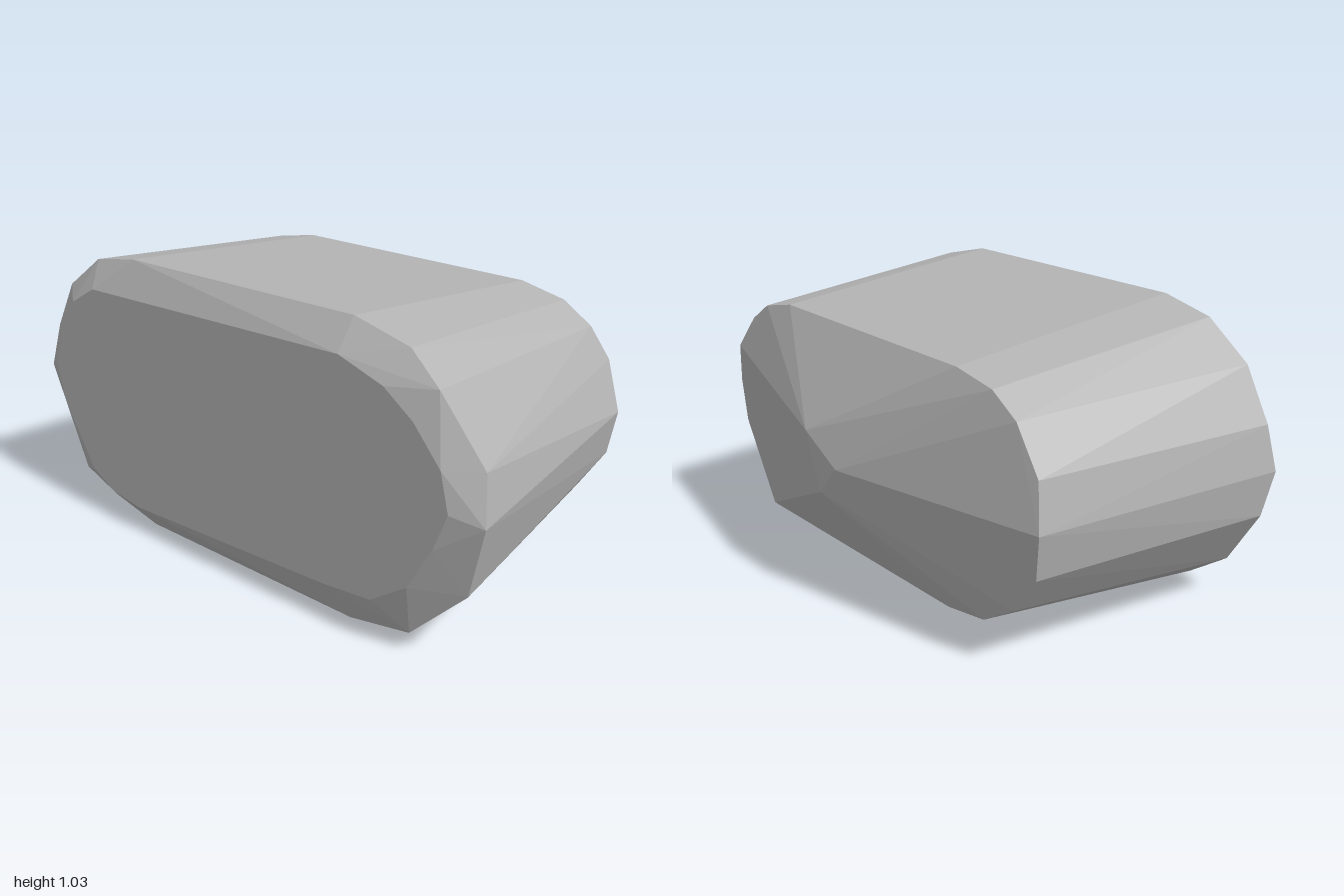
import * as THREE from 'three';
import { ConvexGeometry } from 'three/addons/geometries/ConvexGeometry.js';

// Each ring lists [x, y, optional z]; z falls back to the ring's own depth.
const ring = (depth, points) =>
  points.map(([x, y, z = depth]) => new THREE.Vector3(x, y, z));

export function createModel() {
  const stone = new THREE.MeshStandardMaterial({ color: 0xb4b4b4 });
  stone.name = 'stone grey';

  // Flat front face
  const frontFace = ring(0.59, [
    [-0.87, 0.68], [-0.77, 0.83], [-0.65, 0.9], [0.49, 0.935], [0.66, 0.88],
    [0.77, 0.8], [0.87, 0.68], [0.9, 0.55], [0.85, 0.42], [0.76, 0.26],
    [0.62, 0.16], [0.42, 0.14], [-0.48, 0.1], [-0.62, 0.12], [-0.73, 0.18],
    [-0.87, 0.42], [-0.9, 0.55],
  ]);

  // Widest outline, just behind the front face
  const frontRim = ring(0.515, [
    [-1, 0.52, 0.54], [-0.97, 0.68], [-0.87, 0.86], [-0.7, 0.985],
    [-0.49, 1.025, 0.53], [0.49, 1.035], [0.7, 0.985], [0.83, 0.9, 0.55],
    [0.975, 0.68], [1, 0.52, 0.545], [0.93, 0.26], [0.74, 0.07, 0.545],
    [0.48, 0], [-0.48, 0], [-0.7, 0.05], [-0.83, 0.14, 0.545], [-0.975, 0.36],
  ]);

  // Narrower outline at the rear
  const backRim = ring(-0.39, [
    [-0.9, 0.52, -0.41], [-0.87, 0.68], [-0.77, 0.83], [-0.66, 0.9],
    [-0.49, 0.93], [0.49, 0.935], [0.66, 0.9], [0.77, 0.83],
    [0.83, 0.715, -0.425], [0.9, 0.55], [0.87, 0.39], [0.77, 0.235],
    [0.62, 0.12, -0.425], [0.45, 0.1], [-0.45, 0.1], [-0.63, 0.13],
    [-0.77, 0.22], [-0.87, 0.36],
  ]);

  // Small blunt tip closing the rear
  const backTip = ring(-0.588, [[0.08, 0.61], [-0.1, 0.52], [0, 0.41]]);

  // Faceted body stretched over all the rings
  const body = new THREE.Mesh(
    new ConvexGeometry([...frontFace, ...frontRim, ...backRim, ...backTip]),
    stone
  );
  body.name = 'facetedBody';

  const model = new THREE.Group();
  model.name = 'facetedBlock';
  model.add(body);
  return model;
}
